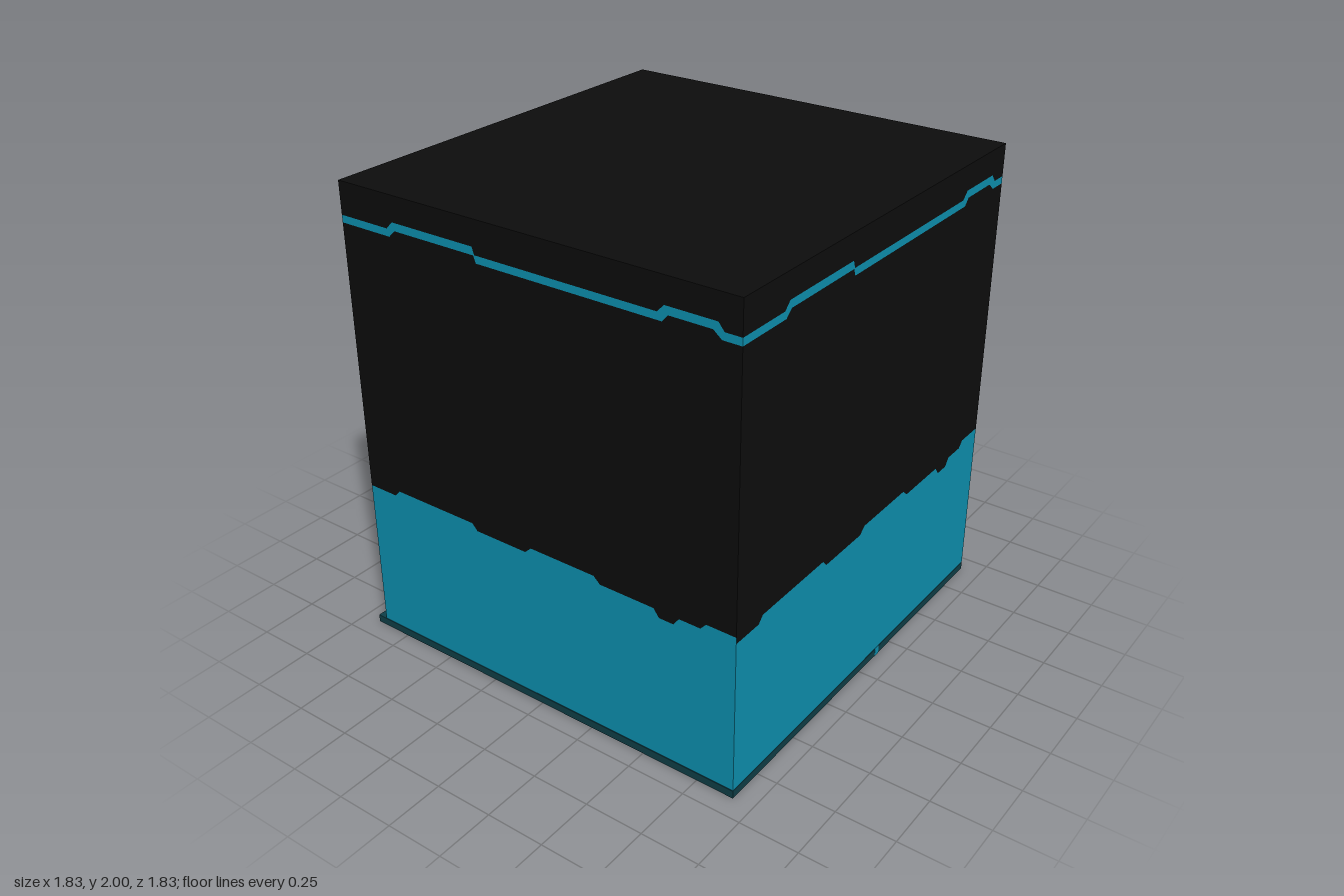
import * as THREE from 'three';

const mat = (name, color, extra = {}) => {
  const m = new THREE.MeshStandardMaterial({ color, ...extra });
  m.name = name;
  return m;
};

export function createModel() {
  const root = new THREE.Group();
  const black = mat('black', 0x0d0d0d, { side: THREE.DoubleSide });
  const cyan = mat('cyan', 0x0d92b2, { side: THREE.DoubleSide });
  const teal = mat('dark teal', 0x0f3f48);

  const H = 0.915, BACK = -0.87, FLOOR = 0.04, TOP = 2;

  const add = (parent, name, geometry, material) => {
    const m = new THREE.Mesh(geometry, material);
    m.name = name;
    parent.add(m);
    return m;
  };
  // box given by its minimum and maximum corners
  const box = (parent, name, material, a, b) => {
    const m = add(parent, name, new THREE.BoxGeometry(b[0] - a[0], b[1] - a[1], b[2] - a[2]), material);
    m.position.set((a[0] + b[0]) / 2, (a[1] + b[1]) / 2, (a[2] + b[2]) / 2);
    return m;
  };
  const flat = (points) => new THREE.ShapeGeometry(new THREE.Shape(points.map(([x, y]) => new THREE.Vector2(x, y))));

  // Wall colour borders, drawn across a wall 1.83 wide
  const wave = [[-0.915, 0.7], [-0.775, 0.7], [-0.75, 0.727], [-0.345, 0.727], [-0.32, 0.7], [-0.07, 0.7],
    [-0.04, 0.727], [0.27, 0.727], [0.3, 0.7], [0.55, 0.7], [0.575, 0.667], [0.64, 0.667], [0.665, 0.7],
    [0.76, 0.7], [0.785, 0.727], [0.915, 0.727]];
  const stripeLow = [[-0.915, 1.835], [-0.665, 1.835], [-0.635, 1.863], [-0.24, 1.863], [-0.23, 1.835],
    [0.595, 1.835], [0.62, 1.863], [0.8, 1.863], [0.835, 1.835], [0.915, 1.835]];
  const stripeHigh = [[-0.915, 1.865], [-0.675, 1.865], [-0.645, 1.895], [-0.245, 1.895], [-0.235, 1.865],
    [0.575, 1.865], [0.605, 1.895], [0.82, 1.895], [0.845, 1.865], [0.915, 1.865]];
  const line = (y) => [[-H, y], [H, y]];

  const wall = (name, width, x, z, turn) => {
    const g = new THREE.Group();
    g.name = name;
    const band = (n, low, high, material) => add(g, n, flat([...low, ...[...high].reverse()]), material);
    band('lowerPanel', line(FLOOR), wave, cyan);
    band('upperPanel', wave, stripeLow, black);
    band('stripe', stripeLow, stripeHigh, cyan);
    band('topBand', stripeHigh, line(TOP), black);
    g.scale.x = width / (2 * H);
    g.position.set(x, 0, z);
    g.rotation.y = turn;
    root.add(g);
  };
  const mid = (H + BACK) / 2, depth = H - BACK;
  wall('frontWall', 2 * H, 0, H, 0);
  wall('leftWall', depth, H, mid, Math.PI / 2);
  wall('rightWall', depth, -H, mid, -Math.PI / 2);

  // Back wall with a wide doorway
  const back = flat([[-H, FLOOR], [-0.695, FLOOR], [-0.695, 1.9], [0.695, 1.9], [0.695, FLOOR],
    [H, FLOOR], [H, TOP], [-H, TOP]]);
  back.rotateY(Math.PI);
  add(root, 'backWall', back, black).position.z = BACK;

  // Roof
  const roof = add(root, 'roof', new THREE.PlaneGeometry(2 * H, depth), black);
  roof.rotation.x = -Math.PI / 2;
  roof.position.set(0, TOP, mid);

  // Floor with a square hatch opening
  const x0 = 0.155, x1 = 0.85, z0 = 0.085, z1 = 0.85;
  const rect = (P, ax, ay, bx, by) => {
    const p = new P();
    p.moveTo(ax, ay); p.lineTo(bx, ay); p.lineTo(bx, by); p.lineTo(ax, by); p.closePath();
    return p;
  };
  const plan = rect(THREE.Shape, -H, -H, H, H);
  plan.holes.push(rect(THREE.Path, x0, -z1, x1, -z0));
  const slab = new THREE.ExtrudeGeometry(plan, { depth: FLOOR - 0.006, bevelEnabled: false });
  slab.rotateX(-Math.PI / 2);
  add(root, 'floor', slab, teal).position.y = 0.003;

  // Dark lining of the opening
  const t = 0.004;
  box(root, 'openingLining', black, [x0, 0.003, z0], [x0 + t, 0.037, z1]);
  box(root, 'openingLining', black, [x1 - t, 0.003, z0], [x1, 0.037, z1]);
  box(root, 'openingLining', black, [x0, 0.003, z0], [x1, 0.037, z0 + t]);
  box(root, 'openingLining', black, [x0, 0.003, z1 - t], [x1, 0.037, z1]);

  // Bright floor seams
  box(root, 'longSeam', cyan, [0.125, 0, -H - 0.001], [x0, FLOOR, H + 0.001]);
  box(root, 'crossSeam', cyan, [x0, 0, 0.055], [H + 0.001, FLOOR, z0]);

  // Jagged tail of the cross seam and corner spots on the underside
  const tail = flat([[0.125, 0.06], [-0.14, 0.06], [-0.2, 0.03], [-0.42, 0.03], [-0.57, 0.05], [-0.57, 0.09],
    [-0.45, 0.1], [-0.34, 0.075], [-0.26, 0.075], [-0.18, 0.115], [-0.1, 0.08], [0.125, 0.08]]);
  tail.rotateX(Math.PI / 2);
  add(root, 'seamTail', tail, cyan).position.y = 0.0005;
  for (const [x, z] of [[0.74, -0.77], [-0.83, -0.78], [-0.83, 0.81]]) {
    const spot = add(root, 'cornerSpot', new THREE.CircleGeometry(0.075, 10), cyan);
    spot.rotation.x = Math.PI / 2;
    spot.position.set(x, 0.0005, z);
  }

  // Raised hatch door standing against the front wall
  const hatch = new THREE.Group();
  hatch.name = 'hatch';
  root.add(hatch);
  const hz = 0.855, hTop = 0.745;
  box(hatch, 'hatchPanel', teal, [x0, FLOOR, hz], [x1, hTop, hz + 0.035]);
  box(hatch, 'hatchEdge', cyan, [x0 - 0.006, FLOOR, hz - 0.002], [x0 + 0.004, hTop, hz + 0.037]);
  box(hatch, 'hatchEdge', cyan, [x1 - 0.015, FLOOR, hz - 0.002], [x1 + 0.006, hTop, hz + 0.037]);
  for (const x of [0.74, 0.28]) {
    const spot = add(hatch, 'hatchSpot', new THREE.CircleGeometry(0.075, 10), cyan);
    spot.rotation.y = Math.PI;
    spot.scale.y = 0.65;
    spot.position.set(x, 0.095, hz - 0.003);
  }
  const mark = flat([[0.65, 0.68], [0.56, 0.68], [0.54, 0.655], [0.54, 0.58], [0.49, 0.575], [0.49, 0.53],
    [0.56, 0.53], [0.59, 0.57], [0.59, 0.64], [0.65, 0.645]]);
  add(hatch, 'hatchMark', mark, cyan).position.z = hz - 0.003;

  return root;
}
